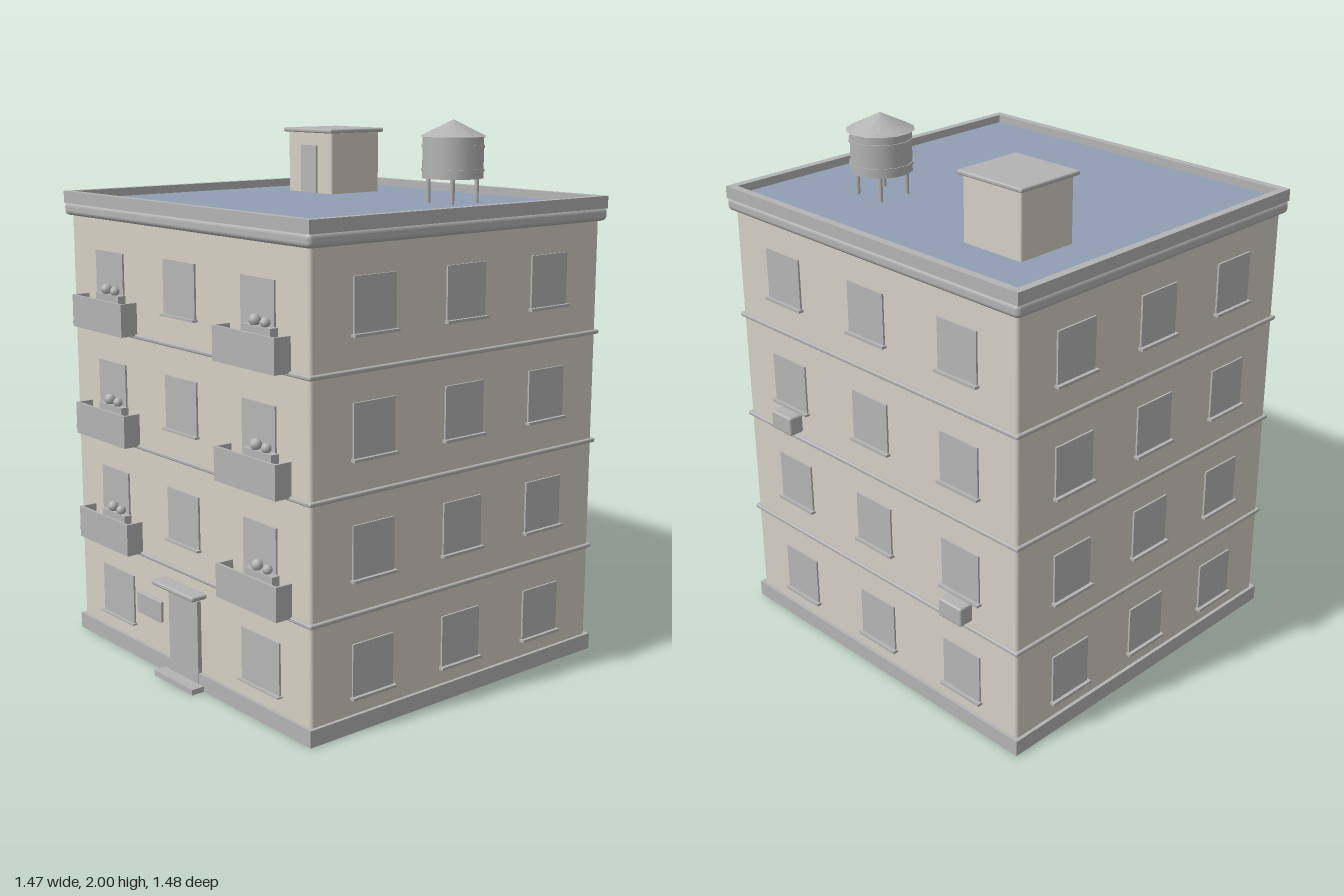
import * as THREE from 'three';
import { RoundedBoxGeometry } from 'three/addons/geometries/RoundedBoxGeometry.js';

const material = (name, color) => {
  const m = new THREE.MeshStandardMaterial({ color });
  m.name = name;
  return m;
};

export function createModel() {
  const wall = material('plaster', 0xd4cfc4);
  const trim = material('trim grey', 0xb3b3b3);
  const glass = material('window grey', 0xb5b5b6);
  const roofing = material('roof blue grey', 0x919eb2);

  const model = new THREE.Group();
  model.name = 'apartmentBuilding';
  const CZ = -0.005, HX = 0.71, HZ = 0.675, FRONT = CZ + HZ, FLOOR = 0.41;

  const add = (parent, name, geometry, mat, x, y, z) => {
    const mesh = new THREE.Mesh(geometry, mat);
    mesh.name = name;
    mesh.position.set(x, y, z);
    parent.add(mesh);
    return mesh;
  };
  // Box given by its limits on each axis; radius > 0 rounds the edges
  const box = (parent, name, mat, [x0, x1], [y0, y1], [z0, z1], radius = 0) => {
    const size = [x1 - x0, y1 - y0, z1 - z0];
    const geometry = radius
      ? new RoundedBoxGeometry(...size, 3, radius)
      : new THREE.BoxGeometry(...size);
    return add(parent, name, geometry, mat, (x0 + x1) / 2, (y0 + y1) / 2, (z0 + z1) / 2);
  };
  // Full-footprint slab that overhangs the walls
  const slab = (name, mat, over, y, radius) =>
    box(model, name, mat, [-HX - over, HX + over], y, [CZ - HZ - over, CZ + HZ + over], radius);

  // Walls, plinth and string courses
  slab('walls', wall, 0, [0.01, 1.67], 0.012);
  slab('plinth', trim, 0.013, [0, 0.06]);
  for (let i = 1; i <= 3; i++) {
    const y = 0.003 + FLOOR * i;
    slab('stringCourse', trim, 0.01, [y - 0.008, y + 0.008], 0.006);
  }

  // Cornice, roof and parapet
  slab('cornice', trim, 0.023, [1.64, 1.69], 0.018);
  slab('roof', roofing, 0, [1.67, 1.7]);
  const px = HX + 0.021, pz = HZ + 0.021, t = 0.03;
  for (const s of [-1, 1]) {
    const sideX = [s * px, s * (px - t)].sort((a, b) => a - b);
    const sideZ = [CZ + s * pz, CZ + s * (pz - t)].sort((a, b) => a - b);
    box(model, 'parapetSide', trim, sideX, [1.685, 1.73], [CZ - pz, CZ + pz]);
    box(model, 'parapetEnd', trim, [-px + t, px - t], [1.685, 1.73], sideZ);
  }

  // One facade: a group whose local z = 0 lies on the wall surface
  const facade = (name, angle, x, z) => {
    const g = new THREE.Group();
    g.name = name;
    g.position.set(x, 0, z);
    g.rotation.y = angle;
    model.add(g);
    return g;
  };
  const window_ = (g, x, y, w, h, sill = 0.01) => {
    box(g, 'windowPane', glass, [x - w / 2, x + w / 2], [y, y + h], [-0.002, 0.007]);
    if (sill) {
      box(g, 'windowSill', trim, [x - w / 2 - 0.007, x + w / 2 + 0.007],
        [y - sill / 2, y + sill / 2], [-0.002, 0.02]);
    }
  };

  const front = facade('frontFacade', 0, 0, FRONT);
  const back = facade('backFacade', Math.PI, 0, CZ - HZ);
  const left = facade('leftFacade', Math.PI / 2, HX, CZ);
  const right = facade('rightFacade', -Math.PI / 2, -HX, CZ);

  // Side and back windows
  for (let f = 0; f < 4; f++) {
    const y = 0.12 + FLOOR * f;
    for (const c of [-1, 0, 1]) {
      window_(left, c * 0.41, y, 0.18, 0.19);
      window_(right, c * 0.41, y, 0.18, 0.19);
      window_(back, c * 0.445, y, 0.18, 0.19);
    }
  }

  // Balcony with floor, panels and a planter holding two round shrubs
  const balcony = (x, y) => {
    const g = new THREE.Group();
    g.name = 'balcony';
    g.position.set(x, y, 0);
    front.add(g);
    const w = 0.167, d = 0.067;
    box(g, 'balconyFloor', trim, [-w, w], [0, 0.018], [0, d]);
    box(g, 'balconyFront', trim, [-w, w], [0.018, 0.12], [d - 0.01, d]);
    for (const s of [-1, 1]) {
      box(g, 'balconySide', trim, [s * (w - 0.005) - 0.005, s * (w - 0.005) + 0.005],
        [0.018, 0.12], [0, d - 0.01]);
    }
    box(g, 'planter', trim, [-0.015, 0.135], [0.1, 0.144], [0.026, 0.057]);
    add(g, 'shrub', new THREE.IcosahedronGeometry(0.021, 1), trim, 0.035, 0.16, 0.042);
    add(g, 'shrub', new THREE.IcosahedronGeometry(0.018, 1), trim, 0.09, 0.157, 0.042);
  };

  // Front windows, balcony doors and balconies
  for (const s of [-1, 1]) window_(front, s * 0.445, 0.12, 0.21, 0.19, 0.006);
  for (let f = 1; f < 4; f++) {
    const y = FLOOR * f;
    window_(front, 0, y + 0.107, 0.19, 0.195, 0.008);
    for (const s of [-1, 1]) {
      window_(front, s * 0.447, y + 0.02, 0.18, 0.275, 0);
      balcony(s * 0.446, y + 0.005);
    }
  }

  // Entrance and wall panel
  box(front, 'entranceDoor', trim, [-0.09, 0.09], [0.01, 0.33], [0, 0.016]);
  box(front, 'entranceCanopy', trim, [-0.13, 0.13], [0.348, 0.366], [0, 0.065], 0.007);
  box(front, 'entranceStep', trim, [-0.12, 0.12], [0, 0.02], [0, 0.065]);
  box(front, 'wallPanel', trim, [-0.312, -0.15], [0.18, 0.262], [-0.002, 0.012], 0.005);

  // Air conditioners on the back wall
  for (const [x, y] of [[-0.445, 0.855], [0.445, 0.445]]) {
    box(back, 'airConditioner', trim, [x - 0.055, x + 0.055], [y, y + 0.073], [0, 0.06], 0.008);
  }

  // Stair house on the roof
  const house = new THREE.Group();
  house.name = 'stairHouse';
  model.add(house);
  box(house, 'stairHouseWalls', wall, [-0.505, -0.24], [1.69, 1.94], [-0.455, -0.21], 0.008);
  box(house, 'stairHouseRoof', trim, [-0.52, -0.228], [1.934, 1.95], [-0.47, -0.195], 0.006);
  box(house, 'stairHouseDoor', glass, [-0.42, -0.325], [1.7, 1.885], [-0.212, -0.203]);

  // Water tank on legs
  const tank = new THREE.Group();
  tank.name = 'waterTank';
  tank.position.set(0.333, 0, -0.305);
  model.add(tank);
  add(tank, 'tankBody', new THREE.CylinderGeometry(0.112, 0.112, 0.155, 14), trim, 0, 1.868, 0);
  add(tank, 'tankLid', new THREE.ConeGeometry(0.123, 0.06, 14), trim, 0, 1.97, 0);
  for (const y of [1.82, 1.905]) {
    add(tank, 'tankBand', new THREE.CylinderGeometry(0.116, 0.116, 0.01, 14), trim, 0, y, 0);
  }
  for (const x of [-0.062, 0.062]) {
    for (const z of [-0.062, 0.062]) {
      add(tank, 'tankLeg', new THREE.CylinderGeometry(0.008, 0.008, 0.1, 8), trim, x, 1.745, z);
    }
  }
  return model;
}
